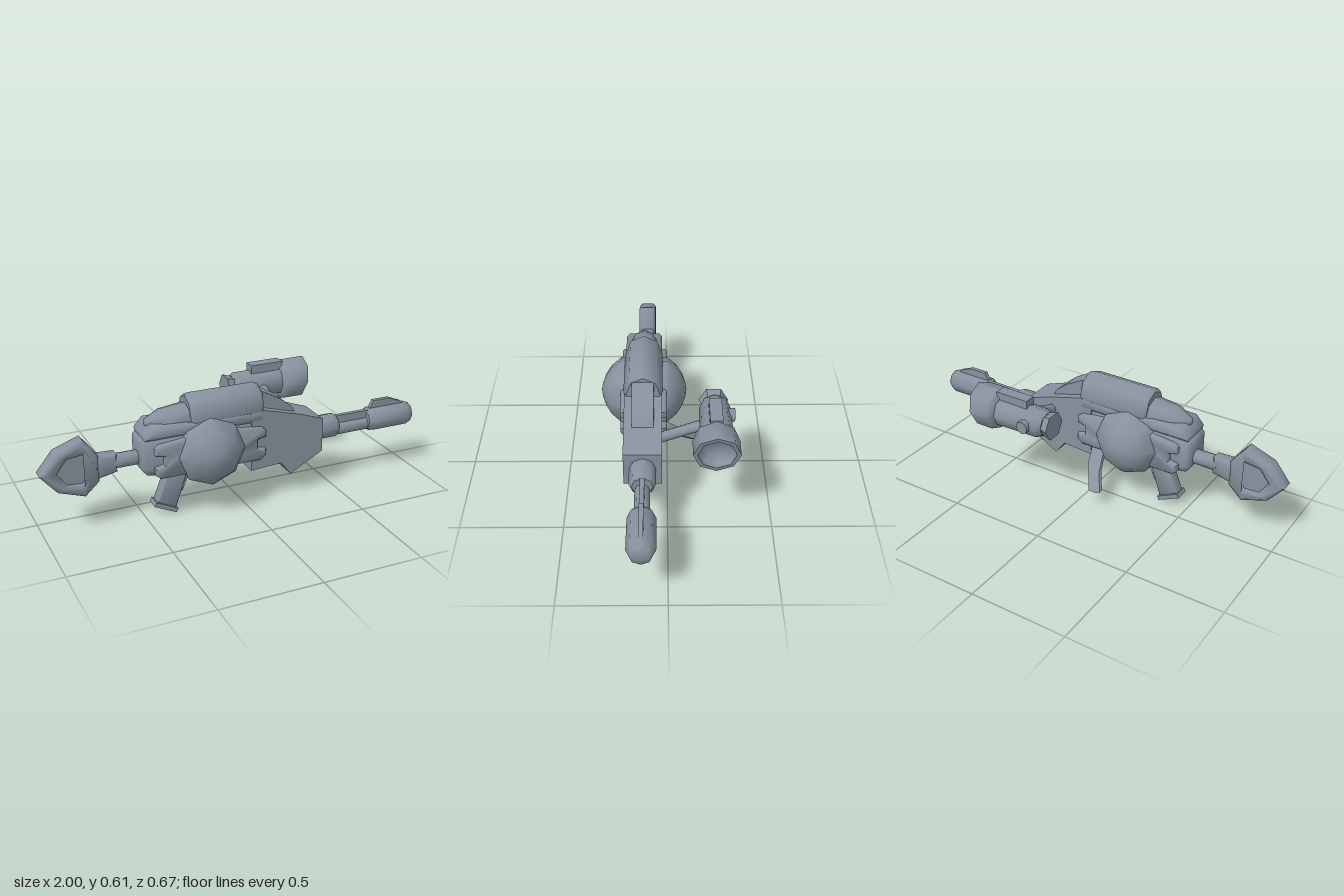
import * as THREE from 'three';
import { toCreasedNormals } from 'three/addons/utils/BufferGeometryUtils.js';

const metal = new THREE.MeshStandardMaterial({ color: 0x87919e });
metal.name = 'blue grey metal';
const MID = 0.117; // z of the weapon's centre plane

export function createModel() {
  const model = new THREE.Group();
  model.name = 'rifle';

  const add = (name, geometry, x = 0, y = 0, z = 0) => {
    const mesh = new THREE.Mesh(toCreasedNormals(geometry, 0.9), metal);
    mesh.name = name;
    mesh.position.set(x, y, z);
    model.add(mesh);
    return mesh;
  };

  // Side outline in x and y, extruded evenly about the centre plane
  const plate = (points, width, bevel = 0, hole = null) => {
    const shape = new THREE.Shape(points.map(p => new THREE.Vector2(...p)));
    if (hole) shape.holes.push(new THREE.Path(hole.map(p => new THREE.Vector2(...p))));
    const g = new THREE.ExtrudeGeometry(shape, {
      depth: width - 2 * bevel, bevelEnabled: bevel > 0, bevelSegments: 1,
      bevelSize: bevel, bevelThickness: bevel, bevelOffset: -bevel
    });
    return g.translate(0, 0, bevel - width / 2);
  };

  // Eight-sided turned part along x, from [x, radius] pairs
  const turned = (pairs, sides = 8) =>
    new THREE.LatheGeometry(pairs.map(([x, r]) => new THREE.Vector2(r, x)), sides).rotateZ(-Math.PI / 2);

  // Main body
  add('receiver', plate([[-0.525, 0.28], [-0.5, 0.25], [-0.4, 0.235], [0.1, 0.225], [0.1, 0.44],
    [-0.5, 0.44], [-0.525, 0.42]], 0.172, 0.02), 0, 0, MID);
  add('frontBody', plate([[0.03, 0.18], [0.195, 0.19], [0.25, 0.12], [0.425, 0.215], [0.425, 0.39],
    [0.3, 0.435], [0.1, 0.49], [0.03, 0.49]], 0.183), 0, 0, MID);
  add('upperDeck', plate([[-0.51, 0.43], [0.1, 0.43], [0.1, 0.495], [-0.47, 0.495], [-0.51, 0.45]],
    0.186, 0.015), 0, 0, MID);

  // Rounded top cover with a lower rear section and sloping nose
  const cover = turned([[-0.28, 0], [-0.28, 0.096], [-0.26, 0.11], [0.075, 0.11], [0.1, 0.096], [0.1, 0]]);
  add('topCover', cover.scale(1, 1, 0.87), 0, 0.5, MID);
  const rearCover = turned([[-0.49, 0], [-0.48, 0.02], [-0.4, 0.058], [-0.27, 0.073], [-0.27, 0]]);
  add('rearCover', rearCover.scale(1, 1, 1.15), 0, 0.492, MID);
  add('coverNose', plate([[0.08, 0.45], [0.08, 0.578], [0.11, 0.57], [0.21, 0.515], [0.27, 0.465],
    [0.3, 0.4], [0.2, 0.4]], 0.105), 0, 0, MID);

  // Domed drum passing through both sides
  const dome = [[0.335, 0], [0.33, 0.035], [0.312, 0.085], [0.284, 0.128], [0.235, 0.17]];
  const profile = [...dome.map(([z, r]) => [2 * MID - z, r]), ...[...dome].reverse()];
  const drum = new THREE.LatheGeometry(profile.map(([z, r]) => new THREE.Vector2(r, z)), 8);
  add('sideDrum', drum.rotateX(Math.PI / 2), -0.187, 0.332, 0);

  // Notched side clamps either side of the drum
  const clamp = [[0, 0.24], [0.26, 0.24], [0.285, 0.26], [0.285, 0.295], [0.24, 0.305], [0.24, 0.35],
    [0.285, 0.36], [0.285, 0.395], [0.265, 0.41], [0, 0.435]];
  for (const s of [-1, 1]) {
    const points = clamp.map(([x, y]) => [-0.185 + s * x, y]);
    add(s > 0 ? 'frontClamp' : 'rearClamp', plate(points, 0.23, 0.008), 0, 0, MID);
  }

  // Barrel, muzzle and sight rail
  add('barrelCollar', turned([[0.4, 0], [0.4, 0.064], [0.53, 0.064], [0.55, 0.05], [0.55, 0]]), 0, 0.303, MID);
  add('barrel', turned([[0.53, 0], [0.53, 0.036], [0.76, 0.036], [0.76, 0]]), 0, 0.28, MID);
  add('barrelRail', plate([[0.53, 0.3], [0.78, 0.3], [0.78, 0.352], [0.53, 0.352]], 0.022), 0, 0, MID);
  add('muzzle', turned([[0.73, 0], [0.73, 0.05], [0.755, 0.066], [0.955, 0.066], [0.99, 0.052], [1, 0.035], [1, 0]]),
    0, 0.299, MID);
  add('frontSight', plate([[0.74, 0.34], [0.97, 0.34], [0.94, 0.37], [0.865, 0.4], [0.77, 0.4]], 0.022), 0, 0, MID);

  // Rear stock with a recessed panel on each side
  add('stockTube', turned([[-0.65, 0], [-0.65, 0.038], [-0.5, 0.038], [-0.5, 0]]), 0, 0.32, MID - 0.012);
  const stock = [[-1, 0.32], [-0.92, 0.225], [-0.79, 0.18], [-0.72, 0.245], [-0.72, 0.375],
    [-0.79, 0.467], [-0.92, 0.42]];
  const panel = [[-0.92, 0.32], [-0.875, 0.255], [-0.8, 0.25], [-0.75, 0.32], [-0.79, 0.395], [-0.87, 0.385]];
  add('stockFrame', plate(stock, 0.09, 0.015, panel), 0, 0, 0.105);
  add('stockPanel', plate(panel.map(([x, y]) => [x * 1.03 + 0.025, y * 1.03 - 0.01]), 0.055), 0, 0, 0.105);
  add('stockNeck', plate([[-0.75, 0.25], [-0.63, 0.275], [-0.63, 0.365], [-0.75, 0.37]], 0.07, 0.01), 0, 0, 0.105);

  // Grip, its foot and the trigger
  add('grip', plate([[-0.44, 0.075], [-0.345, 0.025], [-0.265, 0.26], [-0.37, 0.26]], 0.064, 0.006), 0, 0, 0.115);
  add('gripFoot', plate([[-0.457, 0.058], [-0.345, 0.005], [-0.335, 0.025], [-0.447, 0.078]], 0.073), 0, 0, 0.115);
  add('trigger', plate([[-0.325, 0.11], [-0.305, 0.105], [-0.265, 0.2], [-0.265, 0.25], [-0.33, 0.25]], 0.032), 0, 0, 0.115);

  // Side lever, sheared so that it slants down and away
  const lever = plate([[-0.13, 0.1], [-0.115, 0.095], [-0.07, 0.095], [0.0, 0.18], [0.025, 0.25],
    [-0.045, 0.25], [-0.08, 0.16]], 0.022);
  const pos = lever.attributes.position;
  for (let i = 0; i < pos.count; i++) pos.setZ(i, pos.getZ(i) + 0.03 + (pos.getY(i) - 0.235) * 1.22);
  add('sideLever', lever);

  // Offset scope with a hollow, slanted hood
  const scopeY = 0.457, scopeZ = -0.225;
  const hood = turned([[0.38, 0], [0.385, 0.088], [0.405, 0.11], [0.535, 0.11], [0.535, 0.09],
    [0.5, 0.08], [0.48, 0.055], [0.47, 0]]);
  const hp = hood.attributes.position;
  for (let i = 0; i < hp.count; i++) {
    if (hp.getX(i) > 0.45) hp.setX(i, hp.getX(i) + (hp.getY(i) - 0.11) * 0.2);
  }
  add('scopeHood', hood, 0, scopeY, scopeZ);
  add('scopeBody', turned([[0.12, 0], [0.12, 0.058], [0.15, 0.076], [0.4, 0.08], [0.4, 0]]), 0, scopeY, scopeZ - 0.004);
  add('eyepiece', turned([[0.082, 0], [0.082, 0.072], [0.13, 0.056], [0.13, 0]], 6), 0, scopeY, scopeZ);
  add('scopeRail', new THREE.BoxGeometry(0.18, 0.045, 0.06), 0.31, 0.544, scopeZ);
  add('scopeKnob', new THREE.CylinderGeometry(0.033, 0.033, 0.04, 8).rotateX(Math.PI / 2), 0.205, scopeY, -0.303);

  // Arm joining the scope to the body
  const from = new THREE.Vector3(0.27, 0.365, 0.05), to = new THREE.Vector3(0.27, 0.445, -0.16);
  const arm = add('scopeArm', new THREE.CylinderGeometry(0.026, 0.026, from.distanceTo(to), 8));
  arm.position.copy(from).lerp(to, 0.5);
  arm.quaternion.setFromUnitVectors(new THREE.Vector3(0, 1, 0), to.sub(from).normalize());

  return model;
}
